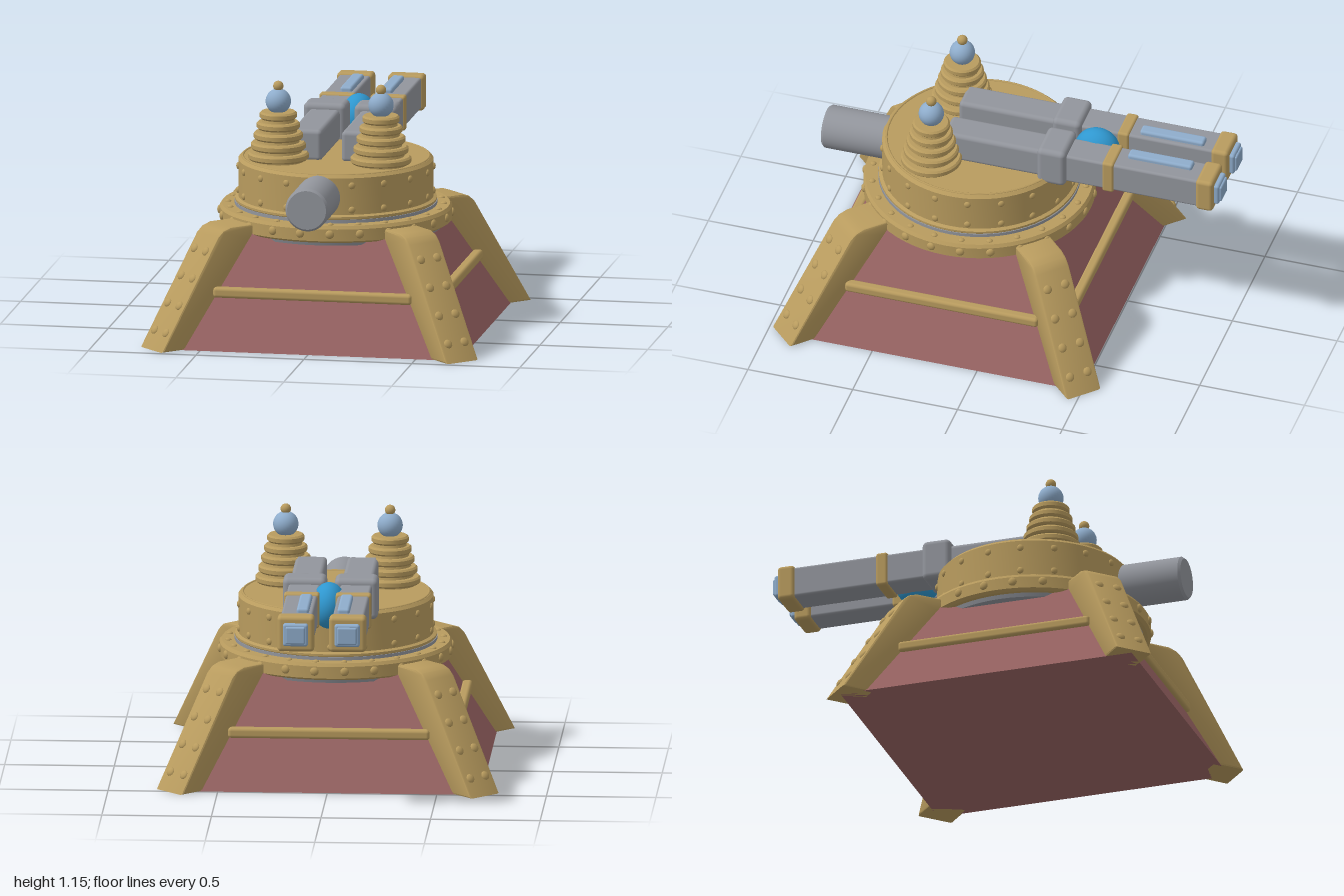
import * as THREE from 'three';
import { RoundedBoxGeometry } from 'three/addons/geometries/RoundedBoxGeometry.js';
import { toCreasedNormals } from 'three/addons/utils/BufferGeometryUtils.js';

const paint = (name, color) => {
  const m = new THREE.MeshStandardMaterial({ color });
  m.name = name;
  return m;
};

export function createModel() {
  const brass = paint('brass', 0xb89b5e);
  const red = paint('dull red', 0x9a6564);
  const steel = paint('steel grey', 0x92959c);
  const paleBlue = paint('pale blue', 0x8eaccb);
  const blue = paint('bright blue', 0x2f97cf);

  const model = new THREE.Group();
  model.name = 'turret';

  const add = (parent, name, geometry, material, x = 0, y = 0, z = 0) => {
    const mesh = new THREE.Mesh(geometry, material);
    mesh.name = name;
    mesh.position.set(x, y, z);
    parent.add(mesh);
    return mesh;
  };
  const group = (name, parent) => {
    const g = new THREE.Group();
    g.name = name;
    parent.add(g);
    return g;
  };
  const rbox = (w, h, d, r) => new RoundedBoxGeometry(w, h, d, 3, r);
  const lathe = (points, segments = 64) =>
    toCreasedNormals(new THREE.LatheGeometry(points.map(p => new THREE.Vector2(...p)), segments), 0.5);
  const rivetGeo = new THREE.SphereGeometry(0.02, 12, 8);

  // Everything below the guns turns around this centre
  const body = group('body', model);
  body.position.z = 0.205;

  // Four-sided sloping base
  const baseGeo = new THREE.CylinderGeometry(0.43 * Math.SQRT2, 0.7 * Math.SQRT2, 0.5, 4)
    .rotateY(Math.PI / 4).toNonIndexed();
  baseGeo.computeVertexNormals();
  add(body, 'base', baseGeo, red, 0, 0.25, 0);

  // Rail across each side of the base
  for (let i = 0; i < 4; i++) {
    const side = group('railSide', body);
    side.rotation.y = i * Math.PI / 2;
    add(side, 'rail', rbox(0.92, 0.048, 0.048, 0.015), brass, 0, 0.25, 0.573);
  }

  // Riveted corner legs
  const legShape = new THREE.Shape([
    [1.02, 0], [0.71, 0.5], [0.68, 0.527], [0.64, 0.54], [0.45, 0.54], [0.53, 0.47], [0.87, 0],
  ].map(p => new THREE.Vector2(...p)));
  const legGeo = toCreasedNormals(new THREE.ExtrudeGeometry(legShape, {
    depth: 0.156, bevelEnabled: true, bevelThickness: 0.01, bevelSize: 0.01,
    bevelOffset: -0.01, bevelSegments: 2,
  }).translate(0, 0, -0.078), 0.5);
  for (let i = 0; i < 4; i++) {
    const leg = group('leg', body);
    leg.rotation.y = Math.PI / 4 + i * Math.PI / 2;
    add(leg, 'legBeam', legGeo, brass);
    for (let row = 0; row < 4; row++) {
      const y = 0.08 + row * 0.118;
      for (const z of [-0.045, 0.045]) {
        const rivet = add(leg, 'legRivet', rivetGeo, brass, 1.018 - y * 0.62, y, z);
        rivet.rotation.z = -1.02;
        rivet.scale.set(1.1, 0.6, 1.1);
      }
    }
  }

  // Turntable ring and drum
  add(body, 'underPlate', new THREE.CylinderGeometry(0.5, 0.49, 0.03, 64), steel, 0, 0.482, 0);
  add(body, 'ring', lathe([[0, 0.485], [0.515, 0.485], [0.53, 0.495], [0.53, 0.55],
    [0.52, 0.565], [0, 0.565]]), brass);
  add(body, 'neck', new THREE.CylinderGeometry(0.462, 0.462, 0.02, 64), steel, 0, 0.57, 0);
  add(body, 'drum', lathe([[0, 0.577], [0.455, 0.577], [0.46, 0.583], [0.46, 0.593], [0.445, 0.6],
    [0.445, 0.77], [0.432, 0.783], [0, 0.783]]), brass);
  add(body, 'drumTopLip', new THREE.TorusGeometry(0.425, 0.006, 8, 64).rotateX(Math.PI / 2),
    brass, 0, 0.782, 0);

  const rivetCircle = (name, count, offset, r, y, scale, flat) => {
    for (let i = 0; i < count; i++) {
      const a = (i + offset) / count * Math.PI * 2;
      const rivet = add(body, name, rivetGeo, brass, Math.sin(a) * r, y, Math.cos(a) * r);
      rivet.rotation.y = a;
      if (flat) rivet.scale.set(scale, scale * 0.6, scale);
      else rivet.scale.set(scale, scale, scale * 0.6);
    }
  };
  rivetCircle('ringRivet', 24, 0.5, 0.53, 0.527, 1, false);
  rivetCircle('ledgeRivet', 24, 0.5, 0.492, 0.565, 0.75, true);
  rivetCircle('drumUpperRivet', 18, 0, 0.445, 0.735, 0.8, false);
  rivetCircle('drumLowerRivet', 18, 0, 0.445, 0.622, 0.8, false);

  // Front cylinder
  const motor = lathe([[0, 0], [0.1, 0], [0.1, 0.315], [0.09, 0.327], [0, 0.327]], 48)
    .rotateX(Math.PI / 2);
  add(model, 'frontCylinder', motor, steel, 0, 0.68, 0.608);

  // Stepped coil posts
  for (const s of [-1, 1]) {
    const post = group('coilPost', model);
    post.position.set(s * 0.238, 0, 0.362);
    add(post, 'postCore', new THREE.CylinderGeometry(0.065, 0.118, 0.235, 32), brass, 0, 0.895, 0);
    for (let i = 0; i < 5; i++) {
      const r = 0.139 - i * 0.0135;
      add(post, 'postDisc', lathe([[0, -0.017], [r - 0.008, -0.017], [r, -0.009], [r, 0.009],
        [r - 0.008, 0.017], [0, 0.017]], 40), brass, 0, 0.808 + i * 0.047, 0);
    }
    add(post, 'postBall', new THREE.SphereGeometry(0.058, 28, 18), paleBlue, 0, 1.06, 0);
    add(post, 'postTip', new THREE.SphereGeometry(0.024, 18, 12), brass, 0, 1.13, 0);
  }

  // Twin square barrels
  for (const s of [-1, 1]) {
    const barrel = group('barrel', model);
    barrel.position.set(s * 0.118, 0.848, 0);
    add(barrel, 'barrelRear', rbox(0.145, 0.145, 0.6, 0.02), steel, 0, 0, 0.02);
    add(barrel, 'barrelCollar', rbox(0.198, 0.19, 0.136, 0.025), steel, 0, 0.005, -0.2);
    add(barrel, 'barrelFront', rbox(0.145, 0.145, 0.7, 0.012), steel, 0, 0, -0.58);
    add(barrel, 'barrelBand', rbox(0.162, 0.162, 0.055, 0.012), brass, 0, 0, -0.466);
    add(barrel, 'muzzleBand', rbox(0.168, 0.165, 0.082, 0.018), brass, 0, 0, -0.926);
    add(barrel, 'muzzleTip', rbox(0.115, 0.105, 0.05, 0.012), paleBlue, 0, 0, -0.965);
    add(barrel, 'muzzleLens', rbox(0.09, 0.08, 0.03, 0.008), paleBlue, 0, 0, -0.985);
    add(barrel, 'topStrip', rbox(0.056, 0.036, 0.305, 0.012), paleBlue, -s * 0.025, 0.075, -0.69);
  }

  // Energy ball held between the barrels
  const ball = add(model, 'energyBall', new THREE.SphereGeometry(1, 36, 24), blue, 0, 0.846, -0.357);
  ball.scale.set(0.08, 0.106, 0.106);

  return model;
}
